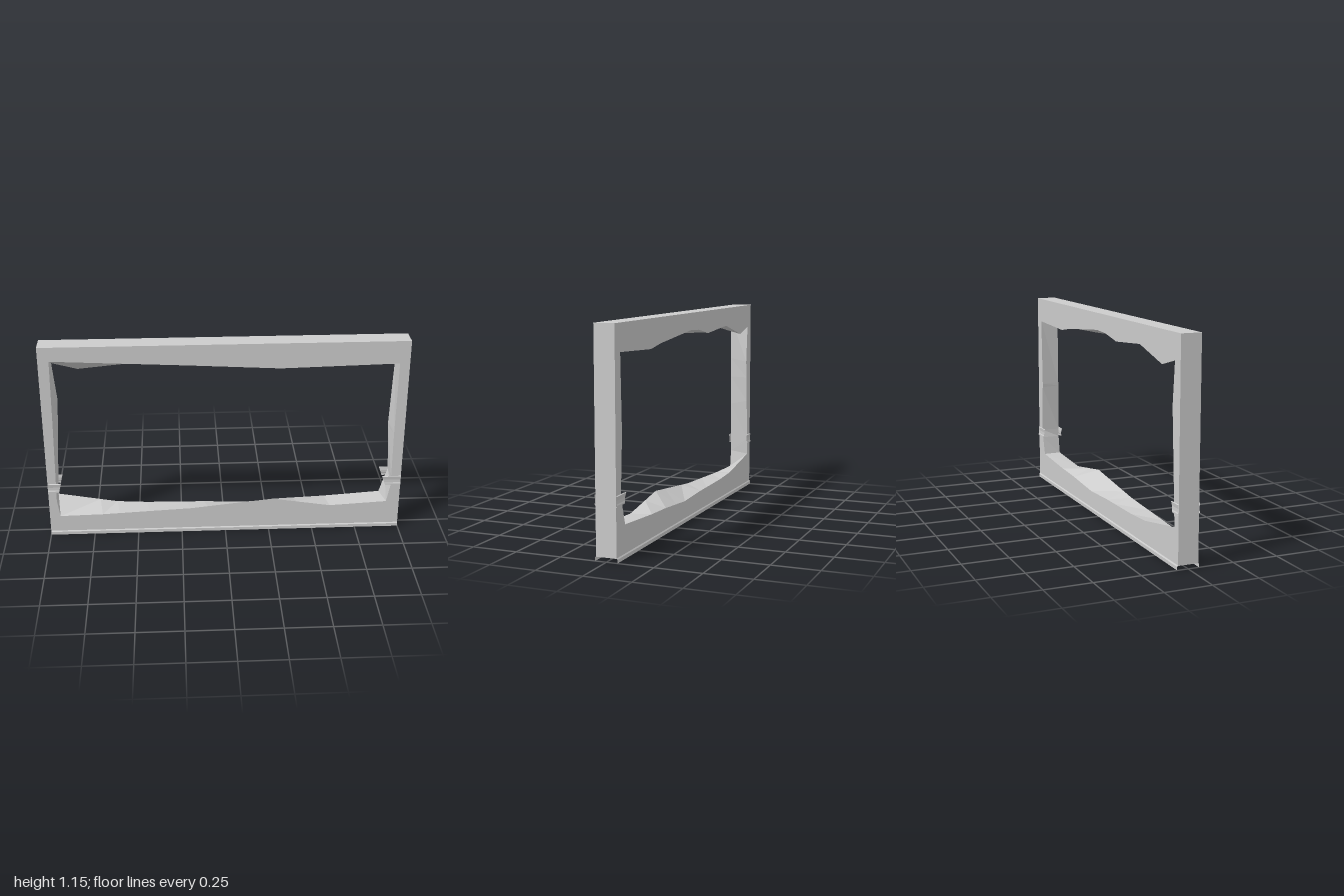
import * as THREE from 'three';

const D = 0.055, BASE = 0.022, TOP = 1.155;
const mat = new THREE.MeshStandardMaterial({ color: 0xcccccc, flatShading: true, side: THREE.DoubleSide });

// Broken opening, four sides each: bottom, right, top, left (counter-clockwise from the front)
const frontHole = [
  [[-0.94, 0.12], [-0.7, 0.125], [-0.2, 0.15], [0.27, 0.2], [0.6, 0.147], [0.925, 0.165]],
  [[0.925, 0.165], [0.945, 0.27], [0.942, 0.6], [0.945, 1.025]],
  [[0.945, 1.025], [0.3, 1.01], [-0.2, 1.038], [-0.94, 1.075]],
  [[-0.94, 1.075], [-0.945, 0.7], [-0.955, 0.22], [-0.94, 0.12]],
];
const backHole = [
  [[-0.955, 0.205], [-0.62, 0.145], [-0.45, 0.135], [-0.12, 0.13], [0.12, 0.12], [0.39, 0.14], [0.58, 0.148], [0.9, 0.17]],
  [[0.9, 0.17], [0.945, 0.32], [0.927, 0.62], [0.94, 1.015]],
  [[0.94, 1.015], [0.575, 1.0], [0.45, 1.02], [0.03, 1.06], [-0.09, 1.055], [-0.24, 1.027], [-0.54, 1.05], [-0.8, 0.983], [-0.94, 1.02]],
  [[-0.94, 1.02], [-0.92, 0.8], [-0.935, 0.55], [-0.95, 0.3], [-0.955, 0.205]],
];
const outer = [[-1, BASE], [1, BASE], [1, TOP], [-1, TOP]];

// Fraction along a side for each point, and the point at a fraction
function fractions(side, axis) {
  const a = side[0][axis], b = side[side.length - 1][axis];
  return side.map((p) => (p[axis] - a) / (b - a));
}
function pointAt(side, f, t) {
  let i = 1;
  while (i < side.length - 1 && f[i] < t) i++;
  const k = (t - f[i - 1]) / (f[i] - f[i - 1]);
  return [0, 1].map((c) => side[i - 1][c] + (side[i][c] - side[i - 1][c]) * k);
}

// Surface from rows of 3D points, one quad between neighbours
function sheet(rowA, rowB, out = []) {
  for (let i = 0; i < rowA.length - 1; i++) {
    out.push(...rowA[i], ...rowA[i + 1], ...rowB[i + 1], ...rowA[i], ...rowB[i + 1], ...rowB[i]);
  }
  return out;
}
function meshFrom(positions, name) {
  const g = new THREE.BufferGeometry();
  g.setAttribute('position', new THREE.Float32BufferAttribute(positions, 3));
  g.computeVertexNormals();
  const m = new THREE.Mesh(g, mat);
  m.name = name;
  return m;
}

// Flat wall face with its opening; flip = -1 makes the back one
function wallFace(hole, flip, name) {
  const v = ([x, y]) => new THREE.Vector2(x * flip, y);
  const shape = new THREE.Shape(outer.map(v));
  shape.holes.push(new THREE.Path(hole.flatMap((s) => s.slice(0, -1)).map(v)));
  const g = new THREE.ShapeGeometry(shape).translate(0, 0, D);
  if (flip < 0) g.rotateY(Math.PI);
  const m = new THREE.Mesh(g, mat);
  m.name = name;
  return m;
}

// Thin moulding: profile of [z, y], ends x0(y) and x1(y), on the front or back
function moulding(profile, x0, x1, face, name) {
  const at = (fx) => profile.map(([z, y]) => [fx(y), y, z * face]);
  const [a, b] = [at(x0), at(x1)];
  return meshFrom(face > 0 ? sheet(b, a) : sheet(a, b), name);
}

export function createModel() {
  const group = new THREE.Group();
  group.name = 'brokenWallFrame';
  group.add(wallFace(frontHole, 1, 'frontFace'), wallFace(backHole, -1, 'backFace'));

  // Top, ends and underside
  const ring = [...outer, outer[0]];
  group.add(meshFrom(sheet(ring.map((p) => [...p, -D]), ring.map((p) => [...p, D])), 'outerEdges'));

  // Jagged thickness of the opening
  const inner = [];
  frontHole.forEach((side, s) => {
    const back = backHole[s], axis = s % 2;
    const ff = fractions(side, axis), fb = fractions(back, axis);
    const ts = [...new Set([...ff, ...fb])].sort((a, b) => a - b);
    sheet(ts.map((t) => [...pointAt(side, ff, t), D]), ts.map((t) => [...pointAt(back, fb, t), -D]), inner);
  });
  group.add(meshFrom(inner, 'openingEdges'));

  // Skirting lip and the snapped-off stubs of rail, on both faces
  const lip = [[D, 0.024], [0.06, 0.018], [0.06, 0]];
  const rail = [[D, 0.33], [0.06, 0.328], [0.057, 0.308], [0.058, 0.29], [0.061, 0.284], [0.061, 0.277], [D, 0.277]];
  for (const face of [1, -1]) {
    const side = face > 0 ? 'front' : 'back';
    group.add(moulding(lip, () => -1, () => 1, face, side + 'Skirting'));
    group.add(moulding(rail, () => -1, (y) => -0.925 - (0.33 - y) * 0.25, face, side + 'RightRailStub'));
    group.add(moulding(rail, (y) => 0.893 + (0.33 - y) * 0.35, () => 1, face, side + 'LeftRailStub'));
  }
  return group;
}
